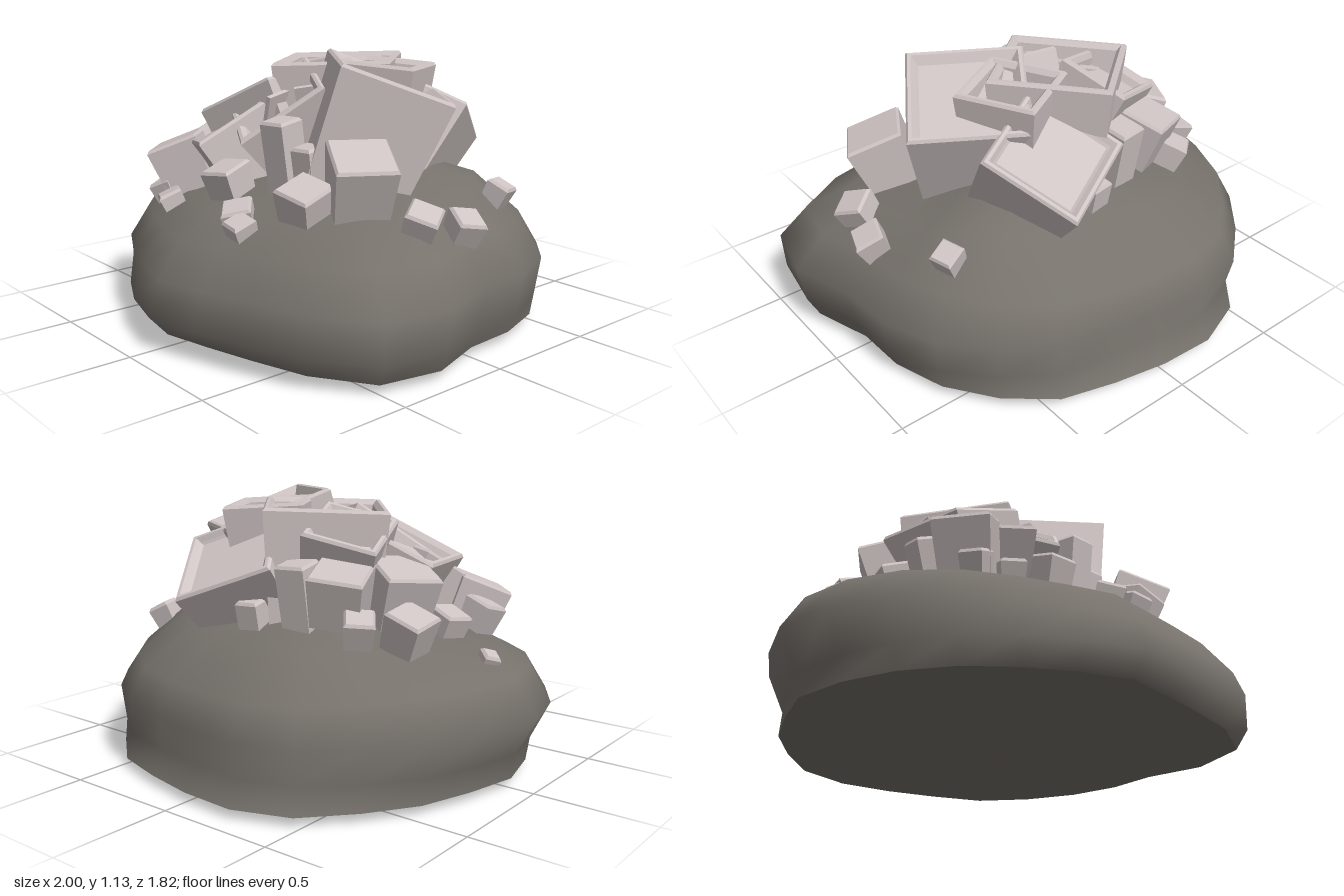
import * as THREE from 'three';

const rad = THREE.MathUtils.degToRad;

// Plan radii of the boulder at even angles, running back, left side, front, right side
const RADII = [
  0.9, 0.89, 0.93, 0.94, 0.95, 0.94, 0.92, 1.04, 1.1, 1.01, 0.92, 0.89,
  0.91, 0.88, 0.88, 0.91, 0.94, 0.97, 1, 0.97, 0.97, 0.96, 0.98, 0.95,
];
// Side profiles as [scale of outline, height], blended by direction
const LEFT = [[0.93, 0.04], [0.97, 0.13], [1, 0.3], [0.88, 0.44], [0.7, 0.53], [0.4, 0.61]];
const FRONT = [[0.91, 0.05], [1, 0.14], [0.94, 0.28], [0.83, 0.42], [0.65, 0.51], [0.4, 0.58]];
const RIGHT = [[0.9, 0.04], [0.91, 0.14], [1, 0.3], [0.91, 0.45], [0.74, 0.52], [0.42, 0.6]];
const BACK = [[1, 0.04], [0.94, 0.14], [0.95, 0.28], [0.89, 0.41], [0.65, 0.57], [0.3, 0.67]];

function ringPoint(i, level) {
  const angle = (i / RADII.length) * Math.PI * 2;
  const sx = Math.sin(angle), sz = -Math.cos(angle);
  const a = (sx > 0 ? LEFT : RIGHT)[level];
  const b = (sz > 0 ? FRONT : BACK)[level];
  const scale = RADII[i] * (a[0] * sx * sx + b[0] * sz * sz);
  const x = sx * scale, z = sz * scale;
  // Shoulder lump on the back left
  const lump = 0.1 * Math.exp(-((x - 0.42) ** 2 + (z + 0.27) ** 2) / 0.06);
  return [x, a[1] * sx * sx + b[1] * sz * sz + lump, z];
}

function meshFrom(positions, index) {
  const g = new THREE.BufferGeometry();
  g.setAttribute('position', new THREE.Float32BufferAttribute(positions, 3));
  g.setIndex(index);
  g.computeVertexNormals();
  return g;
}

function boulderGeometry() {
  const n = RADII.length, levels = FRONT.length, pos = [], idx = [];
  for (let k = 0; k < levels; k++) {
    for (let i = 0; i < n; i++) pos.push(...ringPoint(i, k));
  }
  pos.push(0, 0.645, -0.05);
  for (let i = 0; i < n; i++) {
    const j = (i + 1) % n;
    for (let k = 0; k < levels - 1; k++) {
      const a = k * n, b = a + n;
      idx.push(a + j, a + i, b + i, a + j, b + i, b + j);
    }
    const t = (levels - 1) * n;
    idx.push(t + j, t + i, levels * n);
  }
  return meshFrom(pos, idx);
}

// Nearly flat underside: rim, inner ring, centre
function undersideGeometry() {
  const n = RADII.length, pos = [], idx = [];
  for (let i = 0; i < n; i++) {
    const j = (i + 1) % n, [x, y, z] = ringPoint(i, 0);
    pos.push(x, y, z, x * 0.6, 0.012, z * 0.6);
    idx.push(2 * i, 2 * j, 2 * j + 1, 2 * i, 2 * j + 1, 2 * i + 1, 2 * i + 1, 2 * j + 1, 2 * n);
  }
  pos.push(0, 0, 0);
  return meshFrom(pos, idx);
}

// Four-sided crystal, top at y = 0, flat faces; pit > 0 hollows the top inside a raised rim
function crystalGeometry(w, h, taper, pit) {
  const r = w * Math.SQRT1_2, bevel = 0.012;
  const prof = [[0, -h], [r * taper, -h], [r, -bevel], [r - bevel, 0]];
  if (pit) prof.push([r - 0.032, 0], [r - 0.055, -0.02], [r * 0.95 - 0.055, -pit], [0, -pit]);
  else prof.push([0, 0]);
  const g = new THREE.LatheGeometry(prof.map(p => new THREE.Vector2(...p)), 4).toNonIndexed();
  g.rotateY(Math.PI / 4);
  g.computeVertexNormals();
  return g;
}

// Large hollow crystals: top centre x y z, lean x z, turn, width, pit depth
const LARGE = [
  [0.335, 1.04, -0.05, 0.24, -0.29, -34, 0.48, 0.035],
  [0.2, 0.89, -0.43, 0.1, -0.72, 28, 0.43, 0.03],
  [-0.07, 1.08, -0.13, -0.03, 0.02, 40, 0.5, 0.13],
  [0.2, 1.08, -0.16, 0.05, -0.05, -62, 0.34, 0.1],
  [-0.32, 0.94, 0.1, -0.43, 0.15, 14, 0.42, 0.05],
  [-0.08, 0.93, 0.225, -0.17, 0.72, -33, 0.41, 0.08],
  [-0.27, 1.01, -0.22, -0.35, -0.25, 20, 0.31, 0.05],
  [-0.3, 0.82, 0.34, -0.3, 0.5, -20, 0.33, 0.04],
];

// Small solid blocks: centre x y z, width
const SMALL = [
  [0.53, 0.68, 0.29, 0.24], [0.39, 0.585, 0.44, 0.17], [-0.45, 0.62, 0.43, 0.23],
  [-0.56, 0.6, 0.32, 0.13], [-0.47, 0.51, 0.52, 0.1], [-0.345, 0.485, 0.57, 0.1],
  [-0.08, 0.6, 0.46, 0.15], [0.14, 0.51, 0.57, 0.12], [0.22, 0.485, 0.62, 0.1],
  [0.74, 0.535, 0.17, 0.13], [0.79, 0.5, -0.01, 0.12], [0.66, 0.56, -0.36, 0.1],
  [-0.78, 0.5, 0, 0.07], [-0.58, 0.63, -0.26, 0.16], [-0.46, 0.65, -0.42, 0.12],
  [-0.55, 0.6, 0.06, 0.13], [-0.33, 0.76, -0.36, 0.22], [-0.46, 0.75, -0.15, 0.23],
];

// Upright columns between the large crystals: centre x y z, width, height
const COLUMNS = [
  [0.14, 0.72, 0.34, 0.12, 0.32], [0.25, 0.68, 0.3, 0.1, 0.2],
  [-0.16, 0.74, -0.4, 0.13, 0.28], [0.03, 0.62, -0.46, 0.1, 0.2],
];

export function createModel() {
  const stone = new THREE.MeshStandardMaterial({ color: 0x77726c });
  const mineral = new THREE.MeshStandardMaterial({ color: 0xcec4c3 });
  stone.name = 'stone';
  mineral.name = 'mineral';
  const model = new THREE.Group();
  model.name = 'crystalRock';

  const add = (name, geometry, material, x = 0, y = 0, z = 0) => {
    const m = new THREE.Mesh(geometry, material);
    m.name = name;
    m.position.set(x, y, z);
    model.add(m);
    return m;
  };
  // Leans the mesh's up axis toward (nx, 1, nz) after turning it about y
  const up = new THREE.Vector3(0, 1, 0);
  const orient = (m, nx, nz, turn) => {
    m.quaternion.setFromUnitVectors(up, new THREE.Vector3(nx, 1, nz).normalize());
    m.rotateY(rad(turn));
  };

  // Boulder
  add('boulder', boulderGeometry(), stone);
  add('boulderUnderside', undersideGeometry(), stone);

  // Large crystals with raised rims
  LARGE.forEach(([x, y, z, nx, nz, turn, w, pit], i) => {
    const m = add(`largeCrystal${i + 1}`, crystalGeometry(w, w * 1.05, 0.84, pit), mineral, x, y, z);
    orient(m, nx, nz, turn);
  });

  // Small blocks lean outward from the middle, each turned differently
  SMALL.forEach(([x, y, z, w], i) => {
    const g = crystalGeometry(w, w, 0.88, 0).translate(0, w / 2, 0);
    orient(add(`smallCrystal${i + 1}`, g, mineral, x, y, z), x * 0.65, z * 0.65, (i * 37) % 90 - 30);
  });

  // Columns
  COLUMNS.forEach(([x, y, z, w, h], i) => {
    const g = crystalGeometry(w, h, 0.95, 0).translate(0, h / 2, 0);
    orient(add(`columnCrystal${i + 1}`, g, mineral, x, y, z), 0, z * 0.4, 8);
  });

  // Thin splinters rising inside the pits
  for (let i = 0; i < 8; i++) {
    const a = i * 2.4, r = 0.06 + 0.025 * i;
    const m = add(`splinter${i + 1}`, new THREE.BoxGeometry(0.17, 0.16, 0.02), mineral,
      Math.cos(a) * r - 0.02, 0.95 - 0.012 * i, Math.sin(a) * r);
    m.rotation.set(0.3, a, 0.15, 'YXZ');
  }

  return model;
}
